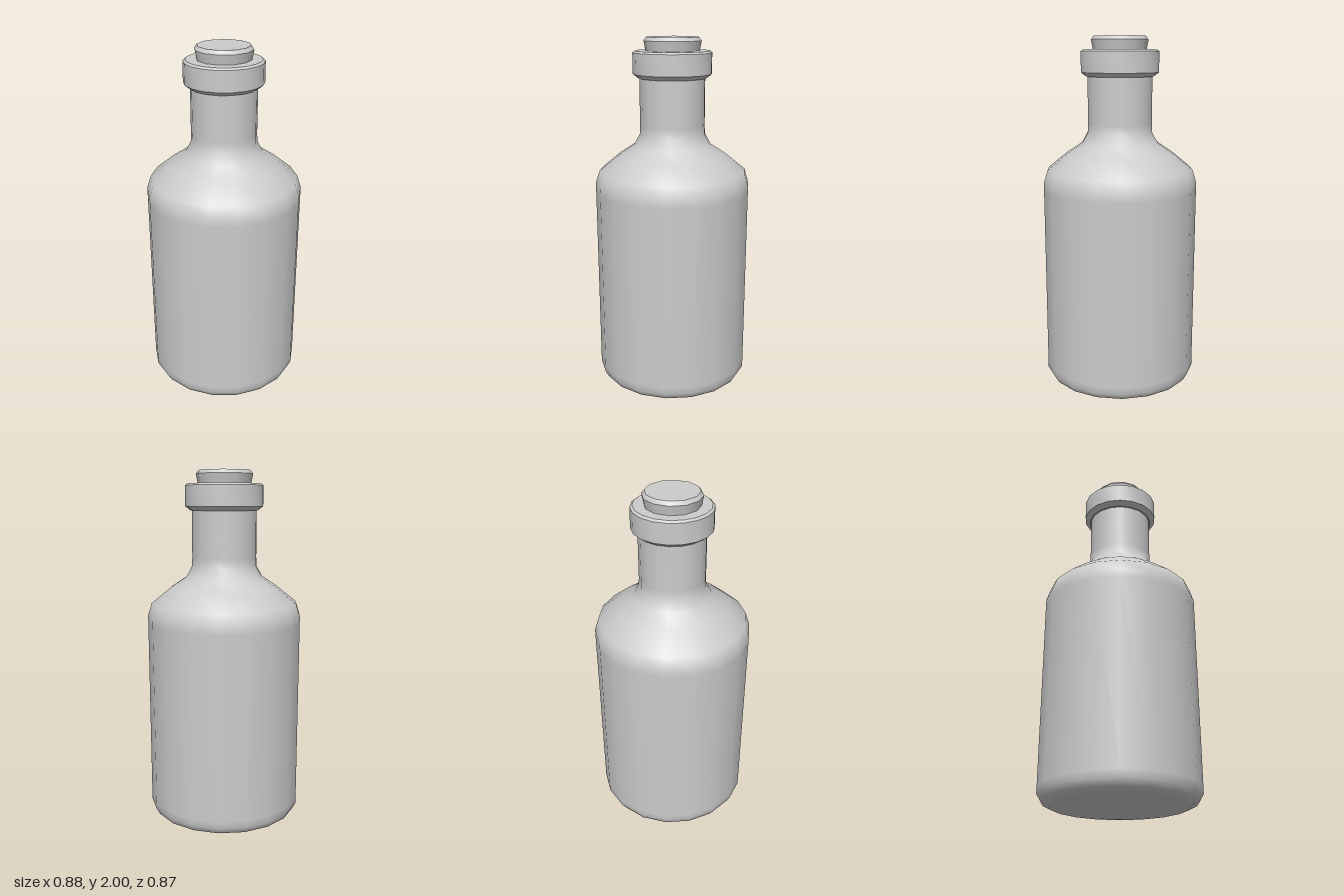
import * as THREE from 'three';
import { toCreasedNormals } from 'three/addons/utils/BufferGeometryUtils.js';

const material = new THREE.MeshStandardMaterial({ color: 0xcccccc });

// Turn a [radius, height] profile, listed bottom to top, starting at +x
function turned(name, profile, sides, creased) {
  const points = profile.map(([r, y]) => new THREE.Vector2(r, y));
  let geometry = new THREE.LatheGeometry(points, sides, Math.PI / 2);
  if (creased) geometry = toCreasedNormals(geometry, 0.6);
  const mesh = new THREE.Mesh(geometry, material);
  mesh.name = name;
  return mesh;
}

export function createModel() {
  const bottle = new THREE.Group();
  bottle.name = 'bottle';

  // Glass body: flat base, straight wall, sloping shoulder and neck
  bottle.add(turned('body', [
    [0, 0], [0.33, 0], [0.375, 0.003], [0.42, 0.025], [0.44, 0.06], [0.44, 0.1],
    [0.44, 1.15], [0.44, 1.19], [0.418, 1.26], [0.307, 1.35], [0.217, 1.41],
    [0.185, 1.47], [0.183, 1.52], [0.183, 1.8],
  ], 18, false));

  // Bevelled lip around the mouth
  bottle.add(turned('lip', [
    [0.18, 1.78], [0.19, 1.78], [0.22, 1.803], [0.22, 1.917],
    [0.207, 1.927], [0.13, 1.927],
  ], 18, true));

  // Stopper, widening upwards with a bevelled top edge
  bottle.add(turned('stopper', [
    [0, 1.8], [0.125, 1.8], [0.16, 1.98], [0.145, 2], [0, 2],
  ], 12, true));

  return bottle;
}
